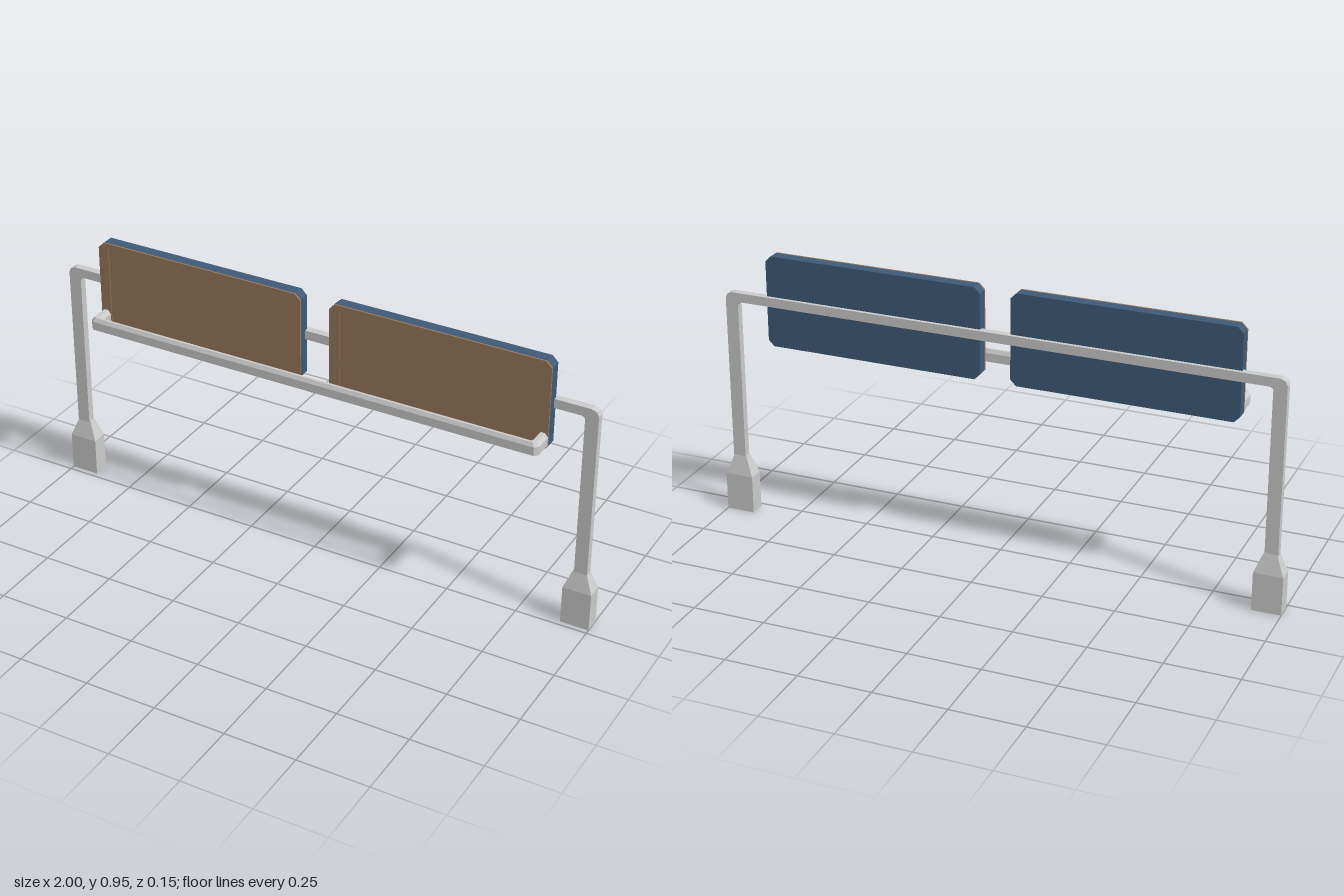
import * as THREE from 'three';

const grey = new THREE.MeshStandardMaterial({ color: 0xcccccc, flatShading: true });
const blue = new THREE.MeshStandardMaterial({ color: 0x3f5a78 });
const brown = new THREE.MeshStandardMaterial({ color: 0x9a785c });

// Solid bar between an outer and an inner outline (left half given, mirrored in x).
// profile: [across 0..1, depth] pairs, counter-clockwise.
function bentBar(outer, inner, profile) {
  const mirror = (half) => [...half, ...half.map(([x, y]) => [-x, y]).reverse()];
  const o = mirror(outer), n = mirror(inner);
  const pos = [], idx = [], m = profile.length;
  o.forEach(([x, y], i) => {
    for (const [t, d] of profile) pos.push(x + (n[i][0] - x) * t, y + (n[i][1] - y) * t, d);
  });
  for (let i = 0; i < o.length - 1; i++) {
    for (let k = 0; k < m; k++) {
      const a = i * m + k, b = i * m + (k + 1) % m;
      idx.push(a, a + m, b, b, a + m, b + m);
    }
  }
  const last = (o.length - 1) * m;
  for (let k = 1; k < m - 1; k++) idx.push(0, k, k + 1, last, last + k + 1, last + k);
  const g = new THREE.BufferGeometry();
  g.setAttribute('position', new THREE.Float32BufferAttribute(pos, 3));
  g.setIndex(idx);
  const flat = g.toNonIndexed();
  flat.computeVertexNormals();
  return flat;
}

// Rectangle with cut corners, centred on the origin
function cutRect(w, h, c, Type = THREE.Shape) {
  const x = w / 2, y = h / 2;
  return new Type([
    [-x + c, -y], [x - c, -y], [x, -y + c], [x, y - c],
    [x - c, y], [-x + c, y], [-x, y - c], [-x, -y + c],
  ].map(([a, b]) => new THREE.Vector2(a, b)));
}

function slab(shape, z0, z1) {
  return new THREE.ExtrudeGeometry(shape, { depth: z1 - z0, bevelEnabled: false }).translate(0, 0, z0);
}

export function createModel() {
  const model = new THREE.Group();
  model.name = 'twinSignStand';
  const add = (parent, name, geometry, material) => {
    const mesh = new THREE.Mesh(geometry, material);
    mesh.name = name;
    parent.add(mesh);
    return mesh;
  };

  // Two posts and the crossbeam as one bent frame
  add(model, 'postFrame', bentBar(
    [[-0.975, 0.19], [-0.975, 0.785], [-0.968, 0.8], [-0.95, 0.807]],
    [[-0.93, 0.19], [-0.93, 0.765], [-0.926, 0.772], [-0.918, 0.775]],
    [[0, -0.058], [1, -0.058], [1, -0.032], [0, -0.032]],
  ), grey);

  // Rail in front of the signs, with short arms back to them
  const rail = bentBar(
    [[-0.825, -0.02], [-0.825, 0.062], [-0.812, 0.075]],
    [[-0.79, -0.02], [-0.79, 0.05], [-0.787, 0.053]],
    [[0, -0.685], [0.3, -0.698], [0.7, -0.698], [1, -0.685], [1, -0.655], [0, -0.655]],
  );
  add(model, 'frontRail', rail.rotateX(Math.PI / 2), grey);

  // Tapered four-sided foot
  const r = Math.SQRT1_2;
  const footGeometry = new THREE.LatheGeometry(
    [[0, 0], [r, 0], [r, 0.135], [r * 0.46, 0.203], [0, 0.203]].map(([x, y]) => new THREE.Vector2(x, y)),
    4, Math.PI / 4,
  ).scale(0.1, 1, 0.056);

  // Sign: blue case, brown face set slightly behind a brown rim
  const w = 0.772, h = 0.32, cut = 0.02;
  const rimShape = cutRect(w, h, cut);
  rimShape.holes.push(cutRect(w - 0.076, h - 0.03, 0.006, THREE.Path));
  const caseGeometry = slab(cutRect(w, h, cut), -0.045, -0.006);
  const faceGeometry = slab(cutRect(w - 0.07, h - 0.024, 0.006), -0.008, -0.003);
  const rimGeometry = slab(rimShape, -0.006, 0);

  for (const [side, s] of [['left', 1], ['right', -1]]) {
    add(model, side + 'Foot', footGeometry, grey).position.set(s * 0.95, 0, -0.046);
    const sign = new THREE.Group();
    sign.name = side + 'Sign';
    sign.position.set(s * 0.439, 0.79, 0);
    add(sign, 'signCase', caseGeometry, blue);
    add(sign, 'signFace', faceGeometry, brown);
    add(sign, 'signRim', rimGeometry, brown);
    model.add(sign);
  }
  return model;
}
